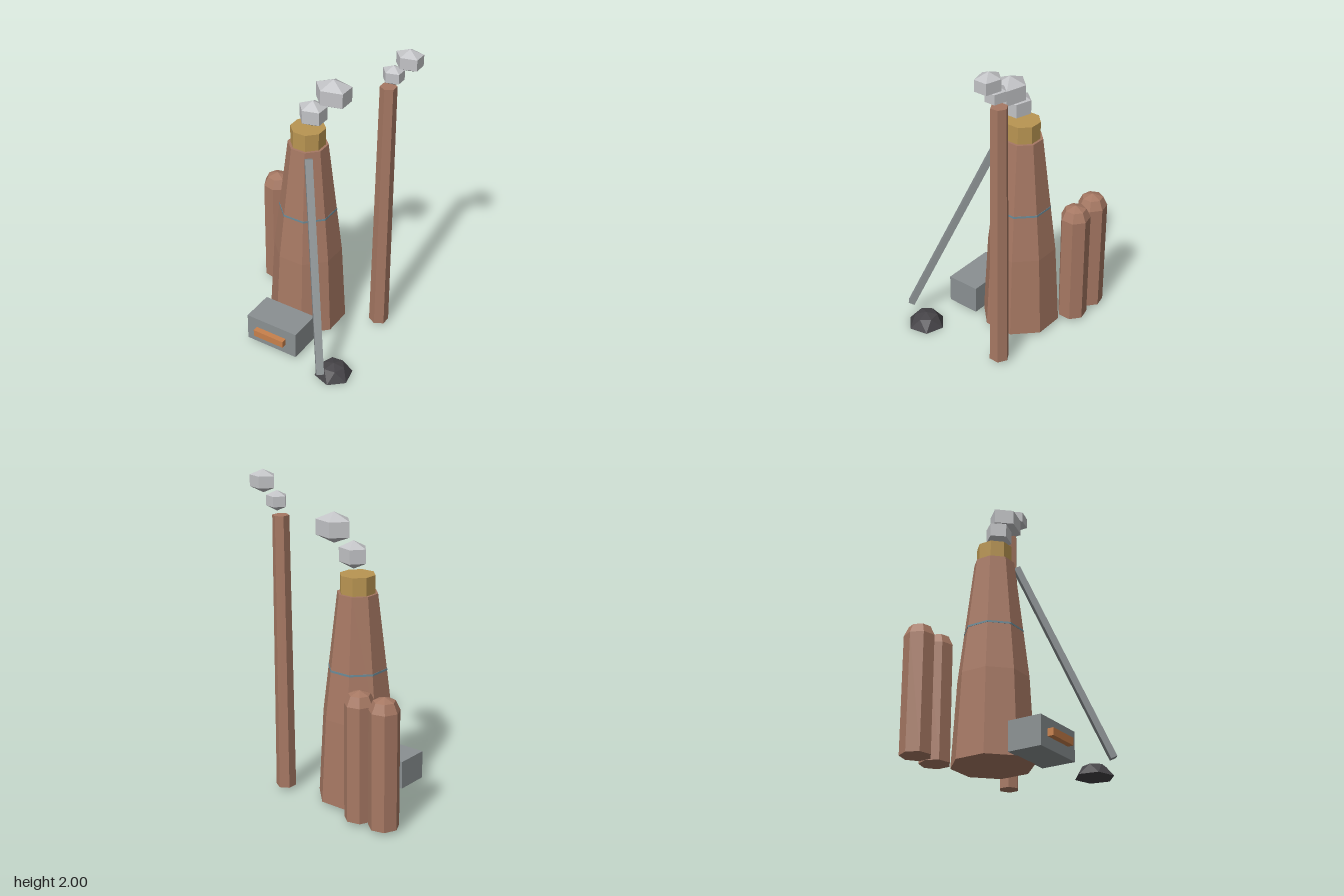
import * as THREE from 'three';

// Faceted copy of a geometry: every face gets its own normal
function facet(geometry) {
  const g = geometry.index ? geometry.toNonIndexed() : geometry;
  g.computeVertexNormals();
  return g;
}

// Many-sided solid from a bottom-to-top profile of [radius, height]
function turned(profile, sides, phiStart) {
  const points = profile.map(([r, y]) => new THREE.Vector2(r, y));
  return new THREE.LatheGeometry(points, sides, phiStart);
}

export function createModel() {
  const model = new THREE.Group();
  const material = (name, color) => {
    const m = new THREE.MeshStandardMaterial({ color });
    m.name = name;
    return m;
  };
  const brick = material('brick', 0xa67863);
  const gold = material('gold', 0xb99552);
  const grey = material('grey metal', 0x8a9092);
  const orange = material('glowing orange', 0xc8804b);
  const smoke = material('smoke', 0xc2c3c6);
  const coal = material('coal', 0x454347);
  const blue = material('blue grey', 0x6a8793);

  const add = (name, geometry, mat, x, y, z) => {
    const mesh = new THREE.Mesh(facet(geometry), mat);
    mesh.name = name;
    mesh.position.set(x, y, z);
    model.add(mesh);
    return mesh;
  };

  // Octagonal furnace with flat sides facing the axes; radii given to the flats
  const fx = -0.065, fz = -0.115;
  const octagon = (profile) =>
    turned(profile.map(([r, y]) => [r / Math.cos(Math.PI / 8), y]), 8, Math.PI / 8);
  add('furnaceBody', octagon([[0, 0.02], [0.228, 0.02], [0.2, 0.55], [0.115, 1.31], [0, 1.31]]),
    brick, fx, 0, fz);
  add('furnaceBand', octagon([[0.16, 0.843], [0.169, 0.843], [0.168, 0.855], [0.16, 0.855]]),
    blue, fx, 0, fz);
  add('furnaceCap', octagon([[0, 1.31], [0.1, 1.31], [0.1, 1.42], [0, 1.42]]), gold, fx, 0, fz);

  // Firebox and its glowing slot
  add('firebox', new THREE.BoxGeometry(0.36, 0.18, 0.215), grey, -0.06, 0.11, 0.2125);
  add('fireSlot', new THREE.BoxGeometry(0.215, 0.045, 0.037), orange, -0.0625, 0.1125, 0.3385);

  // Sloping conveyor from the coal up to the furnace top
  const low = new THREE.Vector3(0.368, 0.09, 0.433);
  const high = new THREE.Vector3(0.01, 1.28, 0);
  const middle = low.clone().add(high).multiplyScalar(0.5);
  const conveyor = add('conveyor', new THREE.BoxGeometry(0.046, 0.04, low.distanceTo(high)),
    grey, middle.x, middle.y, middle.z);
  conveyor.lookAt(high);

  // Coal heap: a low mound with its upper ring twisted
  const heap = turned([[0, 0], [0.119, 0], [0.07, 0.066], [0, 0.083]], 6, 0.2);
  const p = heap.attributes.position;
  for (let i = 0; i < p.count; i++) {
    const v = new THREE.Vector3().fromBufferAttribute(p, i);
    if (v.y > 0.05) v.applyAxisAngle(new THREE.Vector3(0, 1, 0), 0.45);
    p.setXYZ(i, v.x, v.y, v.z);
  }
  add('coalHeap', heap, coal, 0.382, 0, 0.296);

  // Tall hexagonal chimney
  add('chimney', new THREE.CylinderGeometry(0.051, 0.062, 1.72, 6), brick, 0.369, 0.88, -0.289);

  // Pair of domed tanks
  const tank = [[0, 0.02], [0.093, 0.02], [0.093, 0.74], [0.066, 0.798], [0, 0.822]];
  for (const x of [-0.457, -0.278]) {
    add('tank', turned(tank, 7, -Math.PI / 2), brick, x, 0, -0.365);
  }

  // Smoke puffs: [x, y, z, radius x, radius y, radius z]
  const puffs = [
    [-0.029, 1.528, -0.107, 0.105, 0.085, 0.09],
    [0.091, 1.679, -0.14, 0.135, 0.093, 0.106],
    [0.396, 1.822, -0.289, 0.078, 0.061, 0.068],
    [0.483, 1.931, -0.31, 0.098, 0.069, 0.08],
  ];
  for (const [x, y, z, rx, ry, rz] of puffs) {
    add('smokePuff', new THREE.SphereGeometry(1, 5, 3).scale(rx, ry, rz), smoke, x, y, z);
  }

  return model;
}
